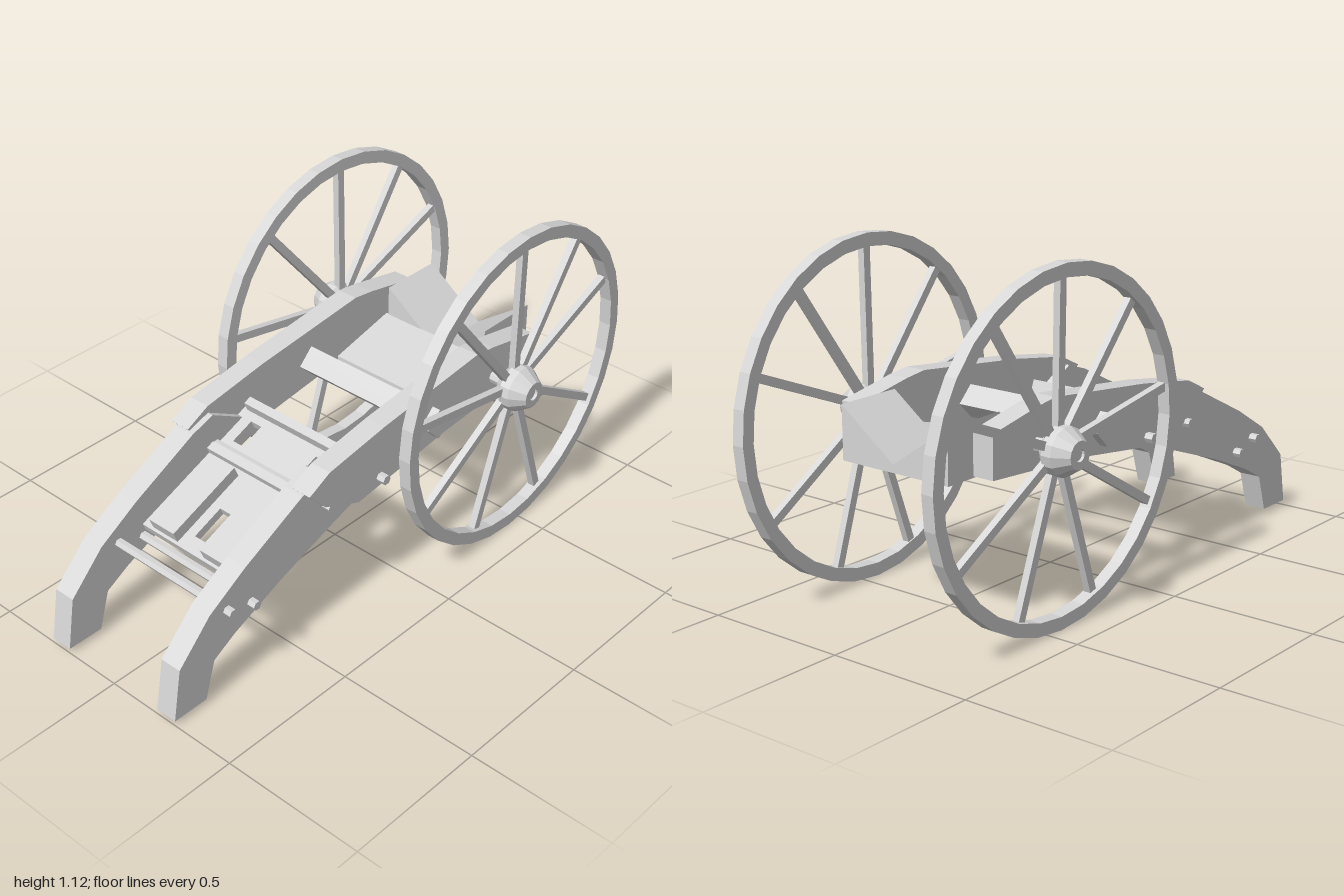
import * as THREE from 'three';

const grey = new THREE.MeshStandardMaterial({ color: 0xd6d6d6, flatShading: true });
grey.name = 'plainGrey';

function add(parent, name, geometry, x = 0, y = 0, z = 0) {
  const mesh = new THREE.Mesh(geometry, grey);
  mesh.name = name;
  mesh.position.set(x, y, z);
  parent.add(mesh);
  return mesh;
}

// Extrudes a (z, y) outline across x, centred on x = 0
function sideExtrude(shape, width, curveSegments = 12) {
  const g = new THREE.ExtrudeGeometry(shape, { depth: width, bevelEnabled: false, curveSegments });
  g.rotateY(-Math.PI / 2);
  return g.translate(width / 2, 0, 0);
}

const outline = (points) => new THREE.Shape(points.map(([a, b]) => new THREE.Vector2(a, b)));

// Round or square bar running along x
function crossBar(parent, name, x0, x1, y, z, radius, sides) {
  const g = new THREE.CylinderGeometry(radius, radius, x1 - x0, sides);
  g.rotateZ(Math.PI / 2);
  return add(parent, name, g, (x0 + x1) / 2, y, z);
}

function makeWheel(side) {
  const wheel = new THREE.Group();
  wheel.name = side > 0 ? 'leftWheel' : 'rightWheel';

  // Rim
  const ring = new THREE.Shape().absarc(0, 0, 0.56, 0, Math.PI * 2, false);
  ring.holes.push(new THREE.Path().absarc(0, 0, 0.517, 0, Math.PI * 2, true));
  add(wheel, 'rim', sideExtrude(ring, 0.043, 16));

  // Hub, turned about the axle
  const profile = [[0, -0.035], [0.05, -0.035], [0.078, -0.005], [0.078, 0.03], [0.045, 0.08], [0.02, 0.08], [0.02, 0.07], [0, 0.07]];
  const hub = new THREE.LatheGeometry(profile.map(([r, h]) => new THREE.Vector2(r, h)), 14);
  hub.rotateZ(-side * Math.PI / 2);
  add(wheel, 'hub', hub);

  // Nine spokes, angles measured from the top towards the back
  for (const degrees of [0, 35, 68, 121, 161, 199, 239, 280, 320]) {
    const spoke = new THREE.BoxGeometry(0.024, 0.48, 0.028);
    spoke.translate(0, 0.285, 0);
    spoke.rotateX(-THREE.MathUtils.degToRad(degrees));
    add(wheel, 'spoke', spoke, -side * 0.005, 0, 0);
  }

  wheel.position.set(side * 0.385, 0.563, -0.442);
  wheel.rotation.set(0, side * 0.02, side > 0 ? -0.01 : 0.018);
  return wheel;
}

// Curved side beams: a front leg scarfed against the inside of a rear beam
const frontLeg = outline([
  [0.87, 0.02], [1.0, 0.02], [0.97, 0.2], [0.84, 0.33], [0.69, 0.42], [0.44, 0.545], [0.35, 0.575],
  [0.1, 0.435], [0.3, 0.37], [0.55, 0.28], [0.74, 0.2], [0.83, 0.15],
]);
const rearBeam = outline([
  [0.44, 0.555], [0.35, 0.6], [0.1, 0.64], [-0.35, 0.69], [-0.43, 0.68], [-0.64, 0.64],
  [-0.64, 0.5], [-0.2, 0.47], [0.1, 0.43], [0.22, 0.415], [0.37, 0.48],
]);

export function createModel() {
  const model = new THREE.Group();
  model.name = 'wheeledCarriage';

  for (const side of [-1, 1]) {
    const label = side > 0 ? 'left' : 'right';
    model.add(makeWheel(side));
    add(model, label + 'FrontLeg', sideExtrude(frontLeg, 0.077), side > 0 ? 0.233 : -0.243);
    add(model, label + 'RearBeam', sideExtrude(rearBeam, 0.075), side * 0.263);
    crossBar(model, label + 'AxleEnd', side * 0.31 - 0.06, side * 0.31 + 0.06, 0.565, -0.44, 0.022, 8);
  }

  // Cross bars
  crossBar(model, 'squareCrossBar', -0.33, 0.33, 0.545, -0.13, 0.055, 4);
  crossBar(model, 'upperRod', -0.33, 0.33, 0.46, 0.12, 0.017, 6);
  crossBar(model, 'middleRod', -0.32, 0.30, 0.46, 0.34, 0.015, 6);
  crossBar(model, 'lowerRod', -0.31, 0.30, 0.278, 0.67, 0.016, 6);
  crossBar(model, 'frontRod', -0.31, 0.30, 0.308, 0.77, 0.016, 6);

  // Rear cradle with a V-shaped top
  const cradle = new THREE.ExtrudeGeometry(
    outline([[-0.215, 0.49], [0.205, 0.49], [0.205, 0.665], [0, 0.515], [-0.215, 0.665]]),
    { depth: 0.23, bevelEnabled: false });
  add(model, 'rearCradle', cradle, 0, 0, -0.738);

  // Bed in front of the cradle
  const bed = outline([[-0.51, 0.49], [-0.26, 0.475], [-0.26, 0.5], [-0.51, 0.56]]);
  add(model, 'rearBed', sideExtrude(bed, 0.45));

  // Sloping tray between the beams, with three openings
  const tray = new THREE.Group();
  tray.name = 'slopingTray';
  tray.position.set(0, 0.415, 0.41);
  tray.rotation.x = 0.38;
  const floor = outline([[-0.23, -0.275], [0.22, -0.275], [0.22, 0.275], [-0.23, 0.275]]);
  const opening = (x0, y0, x1, y1) => floor.holes.push(new THREE.Path([
    [x0, y0], [x0, y1], [x1, y1], [x1, y0]].map(([x, y]) => new THREE.Vector2(x, y))));
  opening(-0.165, 0.12, -0.12, 0.21);
  opening(0.12, 0.12, 0.165, 0.21);
  opening(-0.02, -0.22, 0.025, -0.1);
  const floorGeometry = new THREE.ExtrudeGeometry(floor, { depth: 0.03, bevelEnabled: false });
  floorGeometry.rotateX(-Math.PI / 2);
  add(tray, 'trayFloor', floorGeometry, 0, -0.02, 0);
  for (const x of [-0.11, 0.115]) {
    add(tray, 'trayBlock', new THREE.BoxGeometry(0.11, 0.045, 0.29), x, 0.03, 0.12);
  }
  add(tray, 'trayBackRail', new THREE.BoxGeometry(0.42, 0.04, 0.03), 0, 0.025, -0.255);
  add(tray, 'trayMiddleRail', new THREE.BoxGeometry(0.42, 0.03, 0.03), 0, 0.02, -0.06);
  model.add(tray);

  return model;
}
